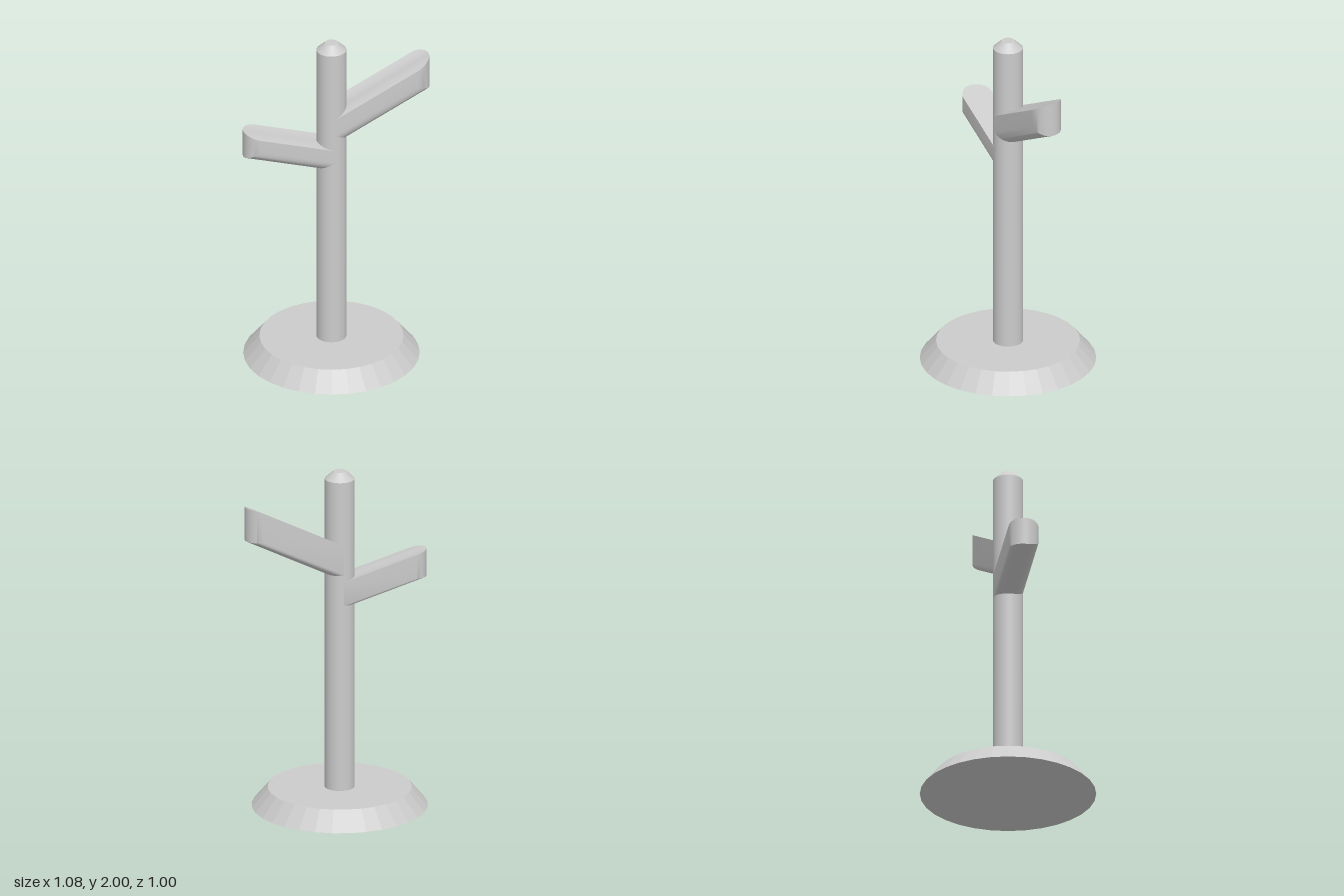
import * as THREE from 'three';
import { toCreasedNormals } from 'three/addons/utils/BufferGeometryUtils.js';

const AXIS_X = -0.03; // the post stands slightly off centre
const R = 0.085;      // post radius and half-width of the arms

const grey = (flatShading = false) => new THREE.MeshStandardMaterial({ color: 0xcccccc, flatShading });

function addMesh(group, name, geometry, material) {
  const mesh = new THREE.Mesh(geometry, material);
  mesh.name = name;
  group.add(mesh);
  return mesh;
}

function frustum(rTop, rBottom, y0, y1) {
  return new THREE.CylinderGeometry(rTop, rBottom, y1 - y0, 32).translate(AXIS_X, (y0 + y1) / 2, 0);
}

// Sloping arm: flat sides, rounded underside, end rounded in plan.
// tipY is the height of the lower edge at the tip; heights in the section are above that edge.
function armGeometry({ side, tip, tipY, slope, drift, top, backTop, frontTop, backLow, frontLow }) {
  const N = 20, low = [], high = [];
  for (let i = 0; i <= N; i++) {
    const t = -Math.cos((i / N) * Math.PI);
    const round = 1 - Math.sqrt(Math.max(0, 1 - t * t));
    low.push([t * R, (t < 0 ? backLow : frontLow) * round]);
    high.push([t * R, top + ((t < 0 ? backTop : frontTop) - top) * t * t]);
  }
  const start = side * AXIS_X;
  const place = (d, [z, h]) => [
    side * d,
    tipY - slope * (tip - d) + h,
    z + drift * (d - start) / (tip - start),
  ];
  const near = p => place(start, p);
  const far = p => place(tip - R + Math.sqrt(Math.max(0, R * R - p[0] * p[0])), p);

  const pos = [];
  const tri = (a, b, c) => pos.push(...a, ...(side > 0 ? b : c), ...(side > 0 ? c : b));
  const quad = (a, b, c, d) => { tri(a, b, c); tri(a, c, d); };

  // skin around the section
  const loop = [...low, ...high.slice().reverse()];
  loop.forEach((p, i) => {
    const q = loop[(i + 1) % loop.length];
    quad(near(p), far(p), far(q), near(q));
  });
  // upright rounded end
  for (let i = 0; i < N; i++) quad(far(low[i]), far(high[i]), far(high[i + 1]), far(low[i + 1]));

  const geometry = new THREE.BufferGeometry();
  geometry.setAttribute('position', new THREE.Float32BufferAttribute(pos, 3));
  return toCreasedNormals(geometry, 0.6);
}

export function createModel() {
  const model = new THREE.Group();
  model.name = 'postWithArms';

  // round foot with a sloping rim
  addMesh(model, 'base', frustum(0.408, 0.5, 0, 0.11), grey(true));

  // post and its chamfered top
  addMesh(model, 'post', frustum(R, R, 0.1, 1.955), grey());
  addMesh(model, 'postTip', frustum(0.037, R, 1.955, 2), grey());

  // long steep arm on the left, short shallow arm on the right
  addMesh(model, 'leftArm', armGeometry({
    side: 1, tip: 0.54, tipY: 1.65, slope: 0.52, drift: -0.026,
    top: 0.2, backTop: 0.222, frontTop: 0.187, backLow: 0.05, frontLow: 0.085,
  }), grey());
  addMesh(model, 'rightArm', armGeometry({
    side: -1, tip: 0.543, tipY: 1.328, slope: 0.27, drift: 0.005,
    top: 0.162, backTop: 0.17, frontTop: 0.155, backLow: 0.03, frontLow: 0.075,
  }), grey());

  return model;
}
